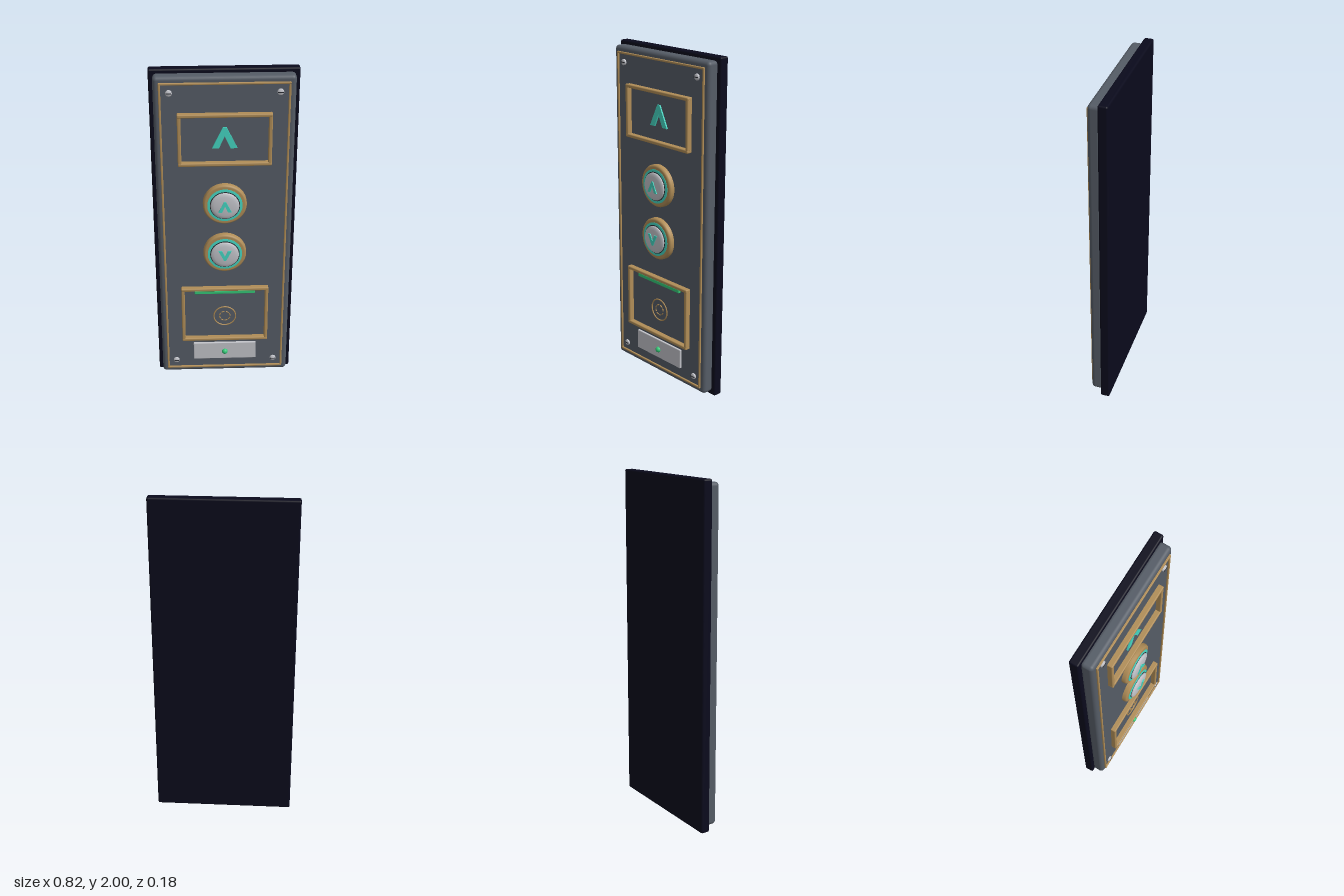
import * as THREE from 'three';
import { RoundedBoxGeometry } from 'three/addons/geometries/RoundedBoxGeometry.js';

function material(name, color) {
  const m = new THREE.MeshStandardMaterial({ color });
  m.name = name;
  return m;
}

export function createModel() {
  const root = new THREE.Group();
  root.name = 'elevatorCallPanel';
  const navy = material('navy backing', 0x0a0a1c);
  const gray = material('slate metal', 0x555c66);
  const brass = material('brass', 0xb08d57);
  const silver = material('silver', 0xc2c3c9);
  const teal = material('teal glow', 0x45d6c2);
  const green = material('green light', 0x35c878);
  const dark = material('dark slot', 0x2a2d33);

  const add = (name, geo, mat, x = 0, y = 0, z = 0, parent = root) => {
    const m = new THREE.Mesh(geo, mat);
    m.name = name;
    m.position.set(x, y, z);
    parent.add(m);
    return m;
  };
  const box = (name, mat, x0, x1, y0, y1, z0, z1, r = 0.004, seg = 2, parent = root) =>
    add(name, new RoundedBoxGeometry(x1 - x0, y1 - y0, z1 - z0, seg, r), mat,
      (x0 + x1) / 2, (y0 + y1) / 2, (z0 + z1) / 2, parent);

  // Solid of revolution facing +z; profile points are [radius, z]
  const turned = (name, profile, mat, x, y, parent, seg = 48) => {
    const geo = new THREE.LatheGeometry(profile.map(p => new THREE.Vector2(...p)), seg);
    return add(name, geo.rotateX(Math.PI / 2), mat, x, y, 0, parent);
  };

  // Four bars around a rectangle
  const frame = (name, w, y0, y1, t, z0, z1) => {
    const g = new THREE.Group();
    g.name = name;
    root.add(g);
    const r = Math.min(t, z1 - z0) * 0.3;
    for (const y of [y0, y1 - t]) box(name + 'Rail', brass, -w, w, y, y + t, z0, z1, r, 2, g);
    for (const s of [-1, 1]) {
      const x = s * (w - t / 2);
      box(name + 'Stile', brass, x - t / 2, x + t / 2, y0 + t * 0.6, y1 - t * 0.6, z0, z1 - 0.001, r, 2, g);
    }
  };

  // Chevron arrow centred on its origin
  const chevron = (name, w, h, depth, y, z, up, parent) => {
    const s = new THREE.Shape();
    [[-0.14, 0.5], [0.14, 0.5], [1, -0.5], [0.46, -0.5], [0, 0.08], [-0.46, -0.5], [-1, -0.5]]
      .forEach(([px, py], i) => s[i ? 'lineTo' : 'moveTo'](px * w, py * h));
    const m = add(name, new THREE.ExtrudeGeometry(s, { depth, bevelEnabled: false }), teal, 0, y, z, parent);
    if (!up) m.rotation.z = Math.PI;
  };

  // Body
  box('backPlate', navy, -0.41, 0.41, 0, 2, -0.09, -0.035, 0.01);
  box('facePlate', gray, -0.386, 0.386, 0.024, 1.98, -0.045, 0.03, 0.022, 4);
  frame('borderTrim', 0.356, 0.055, 1.948, 0.012, 0.022, 0.04);

  // Direction display
  frame('displayFrame', 0.26, 1.465, 1.775, 0.02, 0.025, 0.061);
  chevron('displayArrow', 0.07, 0.125, 0.012, 1.628, 0.027, true, root);

  // Call buttons
  for (const [name, y, up] of [['upButton', 1.222, true], ['downButton', 0.9, false]]) {
    const g = new THREE.Group();
    g.name = name;
    g.position.y = y;
    root.add(g);
    turned('bezel', [[0.125, 0.025], [0.125, 0.05], [0.12, 0.058], [0.112, 0.061], [0, 0.061]], brass, 0, 0, g);
    turned('glowRing', [[0.1, 0.058], [0.1, 0.066], [0, 0.066]], teal, 0, 0, g);
    turned('gap', [[0.086, 0.062], [0.086, 0.067], [0, 0.067]], dark, 0, 0, g);
    turned('cap', [[0.081, 0.062], [0.081, 0.072]], silver, 0, 0, g);
    turned('capDome', [[0.081, 0.072], [0.076, 0.0775], [0.06, 0.081], [0.04, 0.083], [0.02, 0.0842], [0, 0.0845]],
      silver, 0, 0, g);
    chevron('arrow', 0.038, 0.066, 0.012, 0, 0.077, up, g);
  }

  // Card reader
  frame('readerFrame', 0.26, 0.275, 0.657, 0.02, 0.025, 0.061);
  box('statusBar', green, -0.18, 0.18, 0.608, 0.63, 0.025, 0.045);
  add('readerRing', new THREE.TorusGeometry(0.066, 0.004, 8, 48), brass, 0, 0.44, 0.032);
  for (let i = 0; i < 8; i++) {
    const dash = add('readerDash', new THREE.TorusGeometry(0.032, 0.004, 6, 6, Math.PI / 5.5), brass, 0, 0.44, 0.032);
    dash.rotation.z = i * Math.PI / 4;
  }

  // Label plate with indicator light
  box('labelPlate', silver, -0.192, 0.192, 0.124, 0.244, 0.02, 0.042);
  add('indicator', new THREE.SphereGeometry(0.018, 20, 12), green, 0, 0.18, 0.042);

  // Corner screws
  for (const x of [-0.3, 0.3]) for (const y of [0.115, 1.89]) {
    turned('screw', [[0.018, 0.025], [0.018, 0.036], [0.014, 0.041], [0, 0.043]], silver, x, y, root, 20);
    add('screwSlot', new THREE.BoxGeometry(0.03, 0.005, 0.006), dark, x, y, 0.041);
  }
  return root;
}
